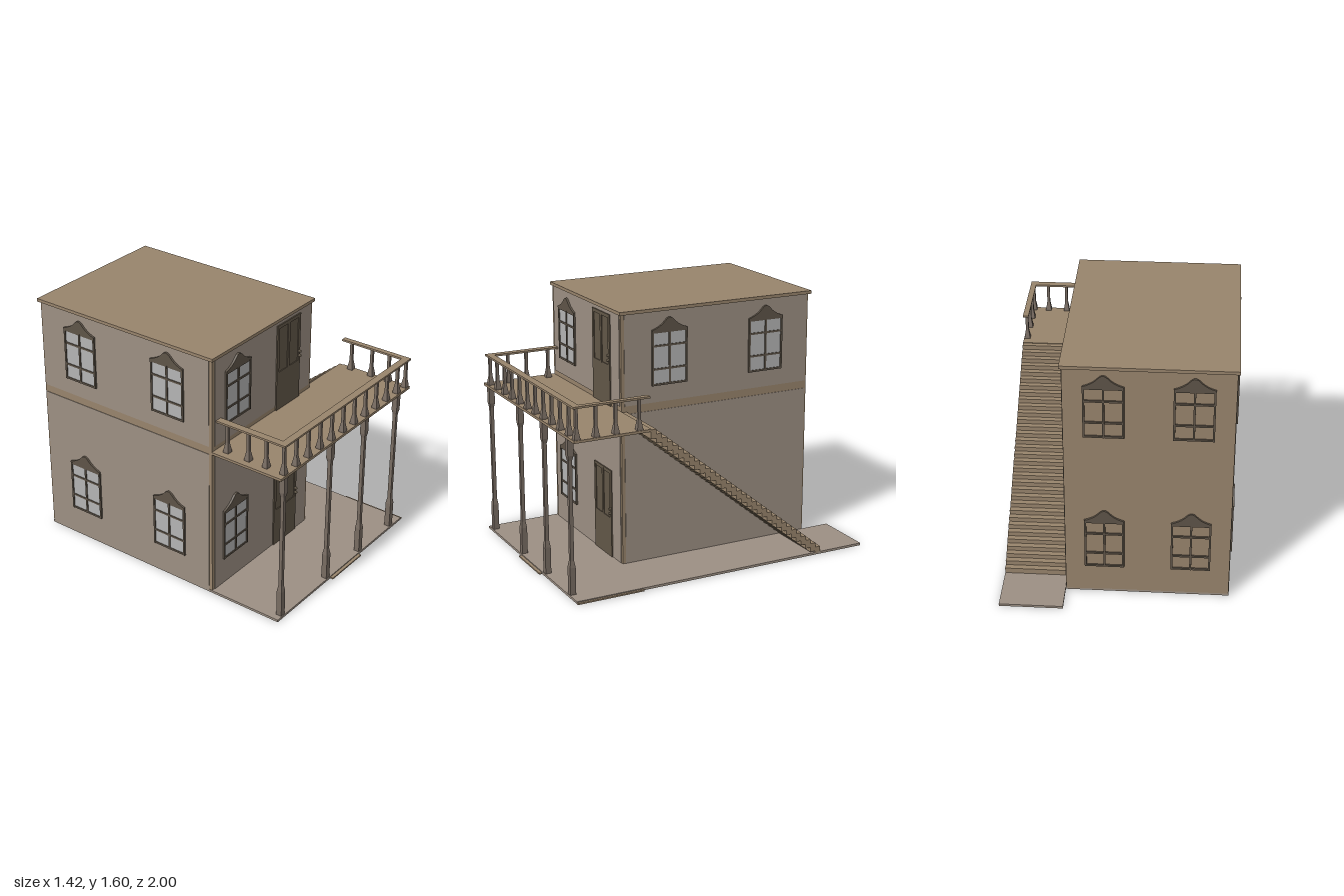
import * as THREE from 'three';

const mat = (color) => new THREE.MeshStandardMaterial({ color, flatShading: true });
const M = {
  wall: mat(0x9c8f83), trim: mat(0x98846c), post: mat(0x786c62),
  frame: mat(0x5e5448), door: mat(0x625748), glass: mat(0xb4b4b4), metal: mat(0xa09078),
};

// Box given by its min and max on each axis
function box(parent, name, m, x0, x1, y0, y1, z0, z1) {
  const mesh = new THREE.Mesh(new THREE.BoxGeometry(x1 - x0, y1 - y0, z1 - z0), m);
  mesh.position.set((x0 + x1) / 2, (y0 + y1) / 2, (z0 + z1) / 2);
  mesh.name = name;
  parent.add(mesh);
  return mesh;
}

// Square turned shaft from [halfWidth, y] pairs
function squareShaft(profile) {
  const pts = profile.map(([w, y]) => new THREE.Vector2(w * Math.SQRT2, y));
  pts.unshift(new THREE.Vector2(0, profile[0][1]));
  pts.push(new THREE.Vector2(0, profile[profile.length - 1][1]));
  return new THREE.LatheGeometry(pts, 4, Math.PI / 4);
}

// Window facing +z, origin at the middle of its sill
function makeWindow(withGlass) {
  const g = new THREE.Group();
  g.name = 'window';
  const w = 0.12, h = 0.335, b = 0.012, d = 0.012;
  if (withGlass) box(g, 'glass', M.glass, -w + b, w - b, b, h - b, 0, 0.006);
  for (const x of [-w, -b / 2, w - b]) box(g, 'uprightBar', M.frame, x, x + b, 0, h, 0, d);
  for (const y of [0, 0.095, 0.238, h - b]) box(g, 'crossBar', M.frame, -w, w, y, y + b, 0, d - 0.001);
  // Pediment with swept sides and a rounded peak
  const s = new THREE.Shape();
  s.moveTo(-w, h);
  s.lineTo(w, h);
  s.lineTo(w, h + 0.008);
  s.quadraticCurveTo(0.06, h + 0.026, 0.03, h + 0.062);
  s.quadraticCurveTo(0, h + 0.098, -0.03, h + 0.062);
  s.quadraticCurveTo(-0.06, h + 0.026, -w, h + 0.008);
  const ped = new THREE.Mesh(
    new THREE.ExtrudeGeometry(s, { depth: 0.014, bevelEnabled: false, curveSegments: 5 }), M.frame);
  ped.name = 'pediment';
  g.add(ped);
  return g;
}

// Door facing +z, origin at the middle of its threshold
function makeDoor(h) {
  const g = new THREE.Group();
  g.name = 'door';
  const w = 0.12, b = 0.022;
  box(g, 'doorLeaf', M.door, -w, w, 0, h, 0, 0.006);
  for (const x of [-w, -b / 2, w - b])
    box(g, 'stile', M.door, x, x + b, 0.25, h, 0.005, 0.011);
  box(g, 'topRail', M.door, -w, w, h - b, h, 0.005, 0.0105);
  box(g, 'lowerPanel', M.door, -w, w, 0, 0.255, 0.005, 0.0108);
  for (const y of [0.285, 0.315]) {
    const knob = new THREE.Mesh(new THREE.CylinderGeometry(0.008, 0.008, 0.014, 8), M.metal);
    knob.rotation.x = Math.PI / 2;
    knob.position.set(0.109, y, 0.018);
    knob.name = 'doorKnob';
    g.add(knob);
  }
  return g;
}

export function createModel() {
  const model = new THREE.Group();
  model.name = 'house';

  // Ground slab and low steps
  box(model, 'groundSlab', M.wall, -0.7, 0.69, 0, 0.015, -0.81, 0.98);
  box(model, 'stairLanding', M.wall, 0.3, 0.69, 0, 0.015, -1, -0.81);
  box(model, 'frontStep', M.trim, -0.14, 0.18, 0, 0.009, 0.98, 1);
  box(model, 'sideStep', M.trim, 0.69, 0.705, 0, 0.009, 0.55, 0.98);

  // House body, inset wall panels and flat roof
  box(model, 'houseBody', M.trim, -0.697, 0.297, 0.002, 1.585, -0.81, 0.491);
  for (const [y0, y1] of [[0.015, 0.97], [1.02, 1.578]]) {
    box(model, 'frontPanel', M.wall, -0.675, 0.28, y0, y1, 0.485, 0.495);
    box(model, 'rightPanel', M.wall, -0.7, -0.69, y0, y1, -0.8, 0.47);
    box(model, 'leftPanel', M.wall, 0.29, 0.3, y0, y1, -0.8, 0.47);
  }
  box(model, 'roof', M.trim, -0.71, 0.31, 1.58, 1.6, -0.827, 0.503);

  // Windows: [x, y, z, turn, glazed]
  const q = Math.PI / 2;
  const windows = [[-0.475, 0.192, 0.494, 0, true], [-0.46, 1.125, 0.494, 0, true]];
  for (const z of [0.17, -0.5]) {
    windows.push([0.299, 1.125, z, q, true]);
    for (const y of [0.192, 1.125]) windows.push([-0.699, y, z, -q, true]);
  }
  for (const y of [0.192, 1.125])
    for (const x of [0.06, -0.46]) windows.push([x, y, -0.809, Math.PI, false]);
  for (const [x, y, z, turn, glazed] of windows) {
    const win = makeWindow(glazed);
    win.position.set(x, y, z);
    win.rotation.y = turn;
    model.add(win);
  }

  // Doors
  for (const [y, h] of [[0.015, 0.565], [0.992, 0.565]]) {
    const door = makeDoor(h);
    door.position.set(0.045, y, 0.492);
    model.add(door);
  }

  // Balcony deck and posts
  box(model, 'balconyDeck', M.trim, -0.7, 0.69, 0.974, 0.99, 0.49, 0.98);
  const postGeo = squareShaft([[0.018, 0.015], [0.018, 0.185], [0.0115, 0.225],
    [0.0115, 0.84], [0.018, 0.87], [0.018, 0.975]]);
  for (const x of [-0.64, -0.16, 0.208, 0.572]) {
    const post = new THREE.Mesh(postGeo, M.post);
    post.position.set(x, 0, 0.957);
    post.name = 'porchPost';
    model.add(post);
  }

  // Handrails and balusters
  box(model, 'frontHandrail', M.trim, -0.665, 0.685, 1.174, 1.186, 0.932, 0.978);
  box(model, 'rightHandrail', M.trim, -0.665, -0.619, 1.174, 1.186, 0.495, 0.932);
  box(model, 'leftHandrail', M.trim, 0.65, 0.685, 1.174, 1.186, 0.495, 0.932);
  const balGeo = squareShaft([[0.018, 0.988], [0.018, 1.0], [0.009, 1.055], [0.009, 1.176]]);
  const spots = [];
  for (let i = 0; i < 12; i++) spots.push([i < 11 ? -0.64 + i * 0.121 : 0.668, 0.956]);
  for (const x of [-0.64, 0.668]) for (const z of [0.835, 0.71, 0.56]) spots.push([x, z]);
  for (const [x, z] of spots) {
    const baluster = new THREE.Mesh(balGeo, M.post);
    baluster.position.set(x, 0, z);
    baluster.name = 'baluster';
    model.add(baluster);
  }

  // Outside staircase descending towards the back
  const n = 33, run = 1.19 / n, rise = 0.965 / n;
  for (let i = 0; i < n; i++) {
    const top = 0.986 - i * rise, z = 0.495 - i * run;
    box(model, 'stairTread', M.trim, 0.301, 0.69, Math.max(0.01, top - rise * 1.9), top, z - run, z);
  }
  return model;
}
